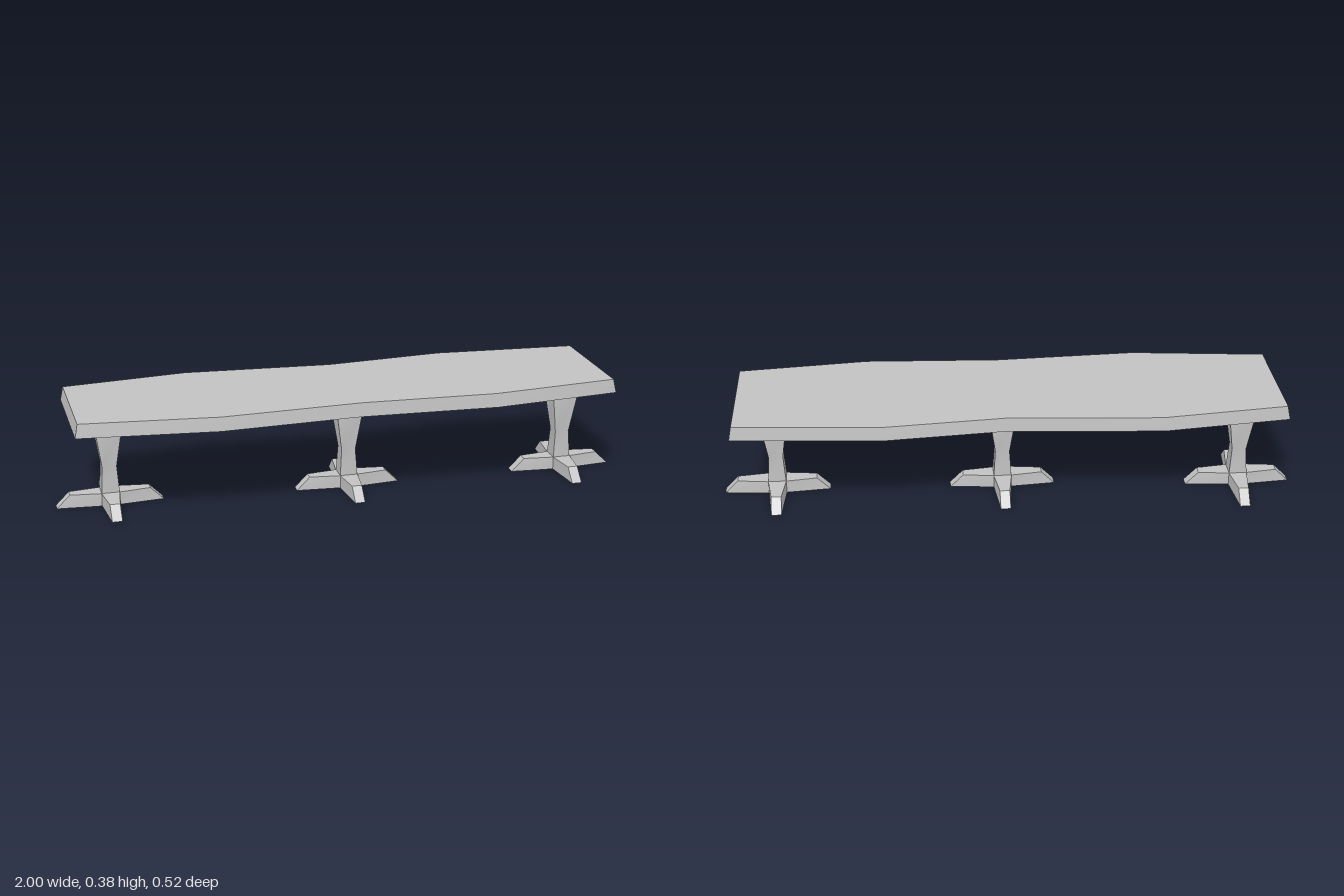
import * as THREE from 'three';
import { toCreasedNormals } from 'three/addons/utils/BufferGeometryUtils.js';

// Stacks horizontal rings of [x, z] points, clockwise from above, into a solid with crisp corners
function loft(rings, { top = false, bottom = false } = {}) {
  const out = [];
  const n = rings[0].points.length;
  const put = (ring, i) => {
    const [x, z] = ring.points[i % n];
    out.push(x, ring.y, z);
  };
  for (let k = 0; k < rings.length - 1; k++) {
    const lo = rings[k], hi = rings[k + 1];
    for (let i = 0; i < n; i++) {
      put(lo, i + 1); put(lo, i); put(hi, i);
      put(lo, i + 1); put(hi, i); put(hi, i + 1);
    }
  }
  const first = rings[0], last = rings[rings.length - 1];
  for (let i = 0; i < n; i++) {
    if (top) { out.push(0, last.y, 0); put(last, i + 1); put(last, i); }
    if (bottom) { out.push(0, first.y, 0); put(first, i); put(first, i + 1); }
  }
  const geometry = new THREE.BufferGeometry();
  geometry.setAttribute('position', new THREE.Float32BufferAttribute(out, 3));
  return toCreasedNormals(geometry, Math.PI / 6);
}

const square = (h) => [[-h, -h], [h, -h], [h, h], [-h, h]];

// Four arms that narrow from a square core to their tips
function cross(reach, tip = 0.0175, core = 0.0315) {
  const points = [];
  for (let q = 0; q < 4; q++) {
    for (let [x, z] of [[core, -core], [reach, -tip], [reach, tip]]) {
      for (let r = 0; r < q; r++) [x, z] = [-z, x];
      points.push([x, z]);
    }
  }
  return points;
}

export function createModel() {
  const group = new THREE.Group();
  group.name = 'longTable';
  const grey = new THREE.MeshStandardMaterial({ color: 0xc2c2c2, side: THREE.DoubleSide });
  grey.name = 'grey';

  const add = (parent, name, geometry) => {
    const mesh = new THREE.Mesh(geometry, grey);
    mesh.name = name;
    parent.add(mesh);
  };

  // Wavy slab, slightly wider at its underside
  const outline = [
    [-0.95, -0.21], [-0.51, -0.26], [0.015, -0.22], [0.44, -0.255], [0.95, -0.215],
    [0.944, 0.215], [0.49, 0.26], [0.015, 0.235], [-0.475, 0.257], [-0.947, 0.205],
  ];
  const inset = outline.map(([x, z]) => [x * 0.99, z * 0.973]);
  add(group, 'tabletop', loft(
    [{ y: 0.33, points: outline }, { y: 0.378, points: inset }],
    { top: true, bottom: true }));

  // Pedestals: flared square column on a cross-shaped foot, both open underneath
  const foot = loft(
    [{ y: 0, points: cross(0.185) }, { y: 0.046, points: cross(0.139) }], { top: true });
  const column = loft(
    [[0, 0.031], [0.046, 0.031], [0.14, 0.025], [0.278, 0.045], [0.331, 0.034]]
      .map(([y, h]) => ({ y, points: square(h) })));

  const places = { right: [-0.815, -0.04], middle: [0.02, 0.007], left: [0.815, 0.026] };
  for (const [side, [x, z]] of Object.entries(places)) {
    const pedestal = new THREE.Group();
    pedestal.name = side + 'Pedestal';
    pedestal.position.set(x, 0, z);
    add(pedestal, 'foot', foot);
    add(pedestal, 'column', column);
    group.add(pedestal);
  }
  return group;
}
